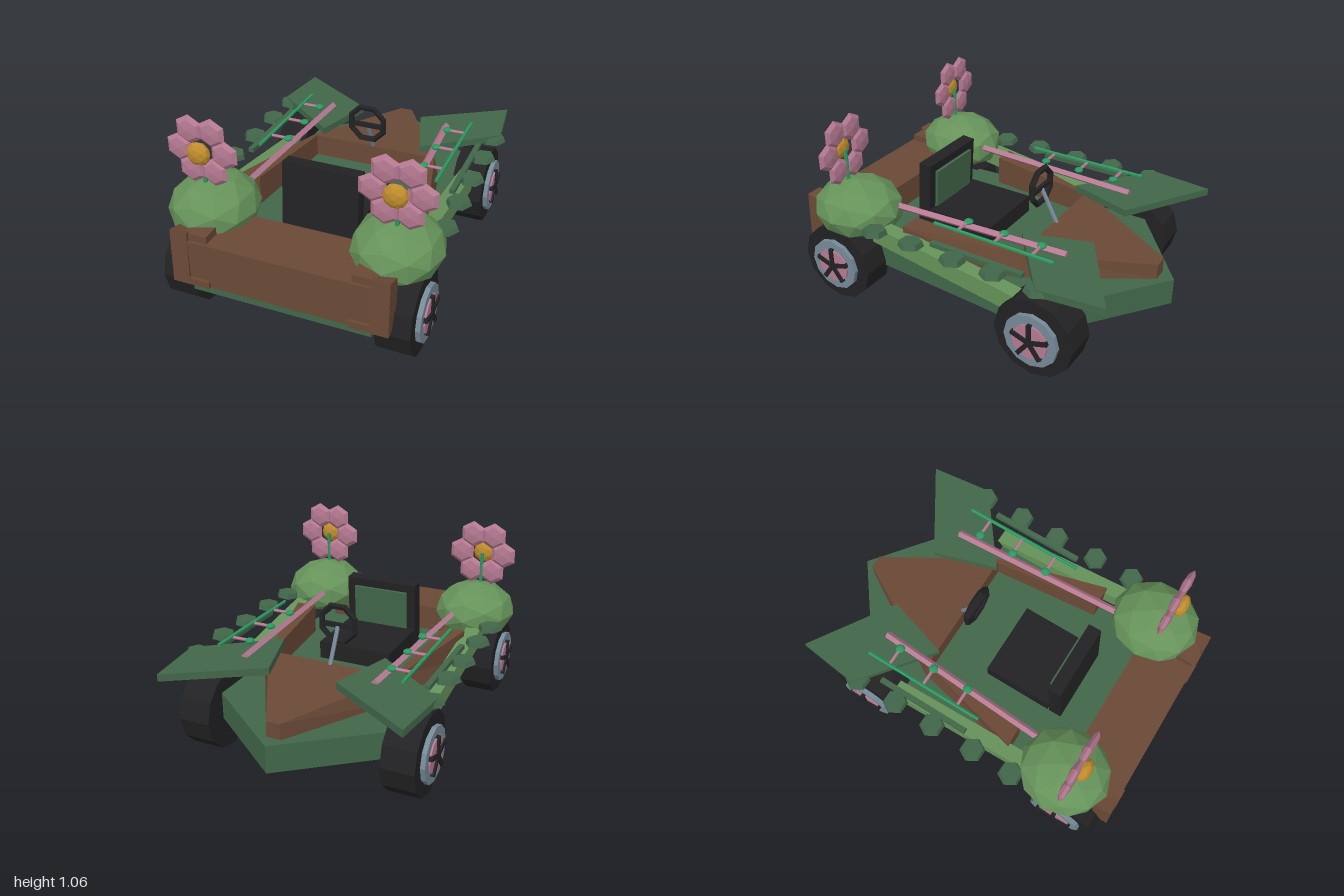
import * as THREE from 'three';

const mat = (name, color) => {
  const m = new THREE.MeshStandardMaterial({ color, flatShading: true });
  m.name = name;
  return m;
};

export function createModel() {
  const M = {
    leaf: mat('dark leaf green', 0x42674a),
    moss: mat('light moss green', 0x66935a),
    wood: mat('bark brown', 0x6a4936),
    black: mat('rubber black', 0x222224),
    pink: mat('petal pink', 0xb67a92),
    steel: mat('blue grey steel', 0x768a98),
    gold: mat('pollen gold', 0xbf8c2d),
    vine: mat('vine green', 0x2a9960),
  };
  const car = new THREE.Group();
  car.name = 'flowerKart';

  const add = (name, geo, m, x = 0, y = 0, z = 0, parent = car) => {
    const mesh = new THREE.Mesh(geo, m);
    mesh.name = name;
    mesh.position.set(x, y, z);
    parent.add(mesh);
    return mesh;
  };
  const box = (w, h, d) => new THREE.BoxGeometry(w, h, d);
  const toShape = (pts) => new THREE.Shape(pts.map(([a, b]) => new THREE.Vector2(a, b)));
  // outline in x,z raised from y0 to y1
  const slab = (pts, y0, y1) =>
    new THREE.ExtrudeGeometry(toShape(pts.map(([x, z]) => [x, -z])), { depth: y1 - y0, bevelEnabled: false })
      .rotateX(-Math.PI / 2).translate(0, y0, 0);
  // profile in z,y spread from x0 to x1
  const sideSlab = (pts, x0, x1) =>
    new THREE.ExtrudeGeometry(toShape(pts), { depth: x1 - x0, bevelEnabled: false })
      .rotateY(-Math.PI / 2).translate(x1, 0, 0);
  const mirrored = (half) => [...half, ...half.filter(([x]) => x !== 0).reverse().map(([x, z]) => [-x, z])];
  const rod = (name, a, b, r, m, parent, sides = 6) => {
    const p = new THREE.Vector3(...a), q = new THREE.Vector3(...b);
    const mesh = add(name, new THREE.CylinderGeometry(r, r, p.distanceTo(q), sides), m, 0, 0, 0, parent);
    mesh.position.copy(p).add(q).multiplyScalar(0.5);
    mesh.quaternion.setFromUnitVectors(new THREE.Vector3(0, 1, 0), q.sub(p).normalize());
    return mesh;
  };

  // Pointed hull
  add('hull', slab(mirrored([[0, -1], [0.58, -0.55], [0.48, 0.97]]), 0.2, 0.35), M.leaf);

  // Bonnet and cockpit rails, sloping down to the nose
  const bonnet = slab(mirrored([[0.04, -0.92], [0.41, -0.3], [0.54, 0.34], [0.42, 0.34], [0.36, -0.29]]), 0.35, 0.5);
  const bp = bonnet.attributes.position;
  for (let i = 0; i < bp.count; i++) {
    if (bp.getY(i) < 0.4) continue;
    bp.setY(i, 0.5 + Math.min(0.02, bp.getZ(i) * 0.07));
    if (bp.getZ(i) < -0.295) bp.setX(i, bp.getX(i) * 0.93);
  }
  bonnet.computeVertexNormals();
  add('bonnet', bonnet, M.wood);

  // Tail box
  add('tailBox', slab(mirrored([[0.44, 0.66], [0.48, 0.985]]), 0.25, 0.5), M.wood);

  // Seat
  add('seatBase', box(0.43, 0.1, 0.4), M.black, 0, 0.4, 0.2);
  const back = new THREE.Group();
  back.name = 'seatBack';
  back.position.set(0, 0.54, 0.435);
  back.rotation.x = -0.07;
  car.add(back);
  add('seatBackFrame', box(0.43, 0.375, 0.075), M.black, 0, 0, 0, back);
  add('seatBackPad', box(0.33, 0.24, 0.03), M.leaf, 0, 0.02, -0.04, back);

  // Steering
  const ring = add('steeringWheel', new THREE.TorusGeometry(0.105, 0.018, 5, 8), M.black, 0, 0.675, -0.2);
  ring.rotation.z = Math.PI / 8;
  add('steeringCrossbar', box(0.2, 0.025, 0.02), M.black, 0, 0.665, -0.2);
  rod('steeringColumn', [0, 0.66, -0.205], [0, 0.46, -0.31], 0.012, M.steel, car);

  for (const s of [1, -1]) {
    const side = new THREE.Group();
    side.name = s > 0 ? 'leftSide' : 'rightSide';
    car.add(side);
    const put = (name, geo, m, x = 0, y = 0, z = 0, parent = side) => add(name, geo, m, s * x, y, z, parent);
    const spread = (pts, x0, x1) => (s > 0 ? sideSlab(pts, x0, x1) : sideSlab(pts, -x1, -x0));

    // Sloping side plank
    put('sidePlank', spread([[0.5, 0.41], [0.5, 0.51], [-0.6, 0.355], [-0.6, 0.25]], 0.52, 0.605), M.moss);

    // Tail corner brackets
    put('tailBracket', spread([[0.96, 0.25], [1, 0.25], [0.985, 0.55], [0.88, 0.52], [0.9, 0.36]], 0.48, 0.575), M.wood);
    put('tailBracketTop', box(0.12, 0.05, 0.1), M.wood, 0.44, 0.515, 0.92);
    put('tailBracketFoot', box(0.12, 0.04, 0.03), M.wood, 0.43, 0.27, 0.985);

    // Leaf wing over the front wheel
    put('leafWing', slab([[0.66, -0.92], [0.19, -0.62], [0.3, -0.26], [0.7, -0.57]].map(([x, z]) => [s * x, z]), 0.515, 0.555), M.leaf);

    // Wheels: tyre, rim, hub and five spokes
    for (const z of [0.73, -0.54]) {
      const wheel = new THREE.Group();
      wheel.name = z > 0 ? 'rearWheel' : 'noseWheel';
      wheel.position.set(0, 0.225, z);
      side.add(wheel);
      const disc = (name, r, x0, x1, m, n) =>
        put(name, new THREE.CylinderGeometry(r, r, x1 - x0, n).rotateZ(Math.PI / 2), m, (x0 + x1) / 2, 0, 0, wheel);
      disc('tyre', 0.225, 0.485, 0.665, M.black, 12);
      disc('rim', 0.152, 0.64, 0.69, M.steel, 12);
      disc('hubDisc', 0.102, 0.66, 0.699, M.pink, 12);
      for (let i = 0; i < 5; i++) {
        const g = box(0.02, 0.108, 0.024).translate(0, 0.054, 0).rotateX((i * Math.PI * 2) / 5);
        put('spoke', g, M.black, 0.7, 0, 0, wheel);
      }
    }

    // Mossy bulb with a flattened underside
    const bulb = new THREE.IcosahedronGeometry(1, 1).scale(0.235, 0.17, 0.255);
    const p = bulb.attributes.position;
    for (let i = 0; i < p.count; i++) p.setY(i, Math.max(p.getY(i), -0.12));
    bulb.computeVertexNormals();
    put('bulb', bulb, M.moss, 0.5, 0.535, 0.67);

    // Flower
    const flower = new THREE.Group();
    flower.name = 'flower';
    flower.position.set(s * 0.51, 0.87, 0.73);
    side.add(flower);
    for (let i = 0; i < 6; i++) {
      const a = (i * Math.PI) / 3;
      const g = new THREE.SphereGeometry(0.08, 6, 4).rotateX(Math.PI / 2).rotateZ(Math.PI / 6).scale(1, 1, 0.3);
      add('petal', g, M.pink, Math.cos(a) * 0.125, Math.sin(a) * 0.125, 0, flower);
    }
    add('flowerCentre', new THREE.IcosahedronGeometry(0.064, 1).scale(1, 1, 0.6), M.gold, 0, 0, 0.033, flower);
    rod('flowerStem', [0, -0.2, -0.005], [0, 0, -0.005], 0.011, M.vine, flower);

    // Pink rail with vine rod and budded pegs
    rod('pinkRail', [s * 0.425, 0.56, 0.46], [s * 0.37, 0.56, -0.56], 0.021, M.pink, side, 4);
    rod('vineRod', [s * 0.52, 0.6, 0.14], [s * 0.52, 0.6, -0.57], 0.01, M.vine, side);
    for (const z of [0, -0.22, -0.44]) {
      rod('peg', [s * 0.41, 0.595, z], [s * 0.52, 0.595, z], 0.009, M.pink, side);
      put('bud', new THREE.IcosahedronGeometry(0.026, 1).scale(1, 0.6, 1), M.vine, 0.41, 0.595, z);
    }

    // Leafy garland
    put('garlandStem', box(0.03, 0.025, 0.55), M.leaf, 0.6, 0.53, -0.17);
    [-0.56, -0.31, -0.07, 0.19, 0.43, 0.65].forEach((z, i) => {
      const g = new THREE.CylinderGeometry(0.06, 0.07, 0.03, 6).rotateY(Math.PI / 6);
      put('garlandLeaf', g, M.leaf, 0.663, 0.53 + (i % 2) * 0.006, z).rotation.z = s * 0.08;
    });
  }
  return car;
}
